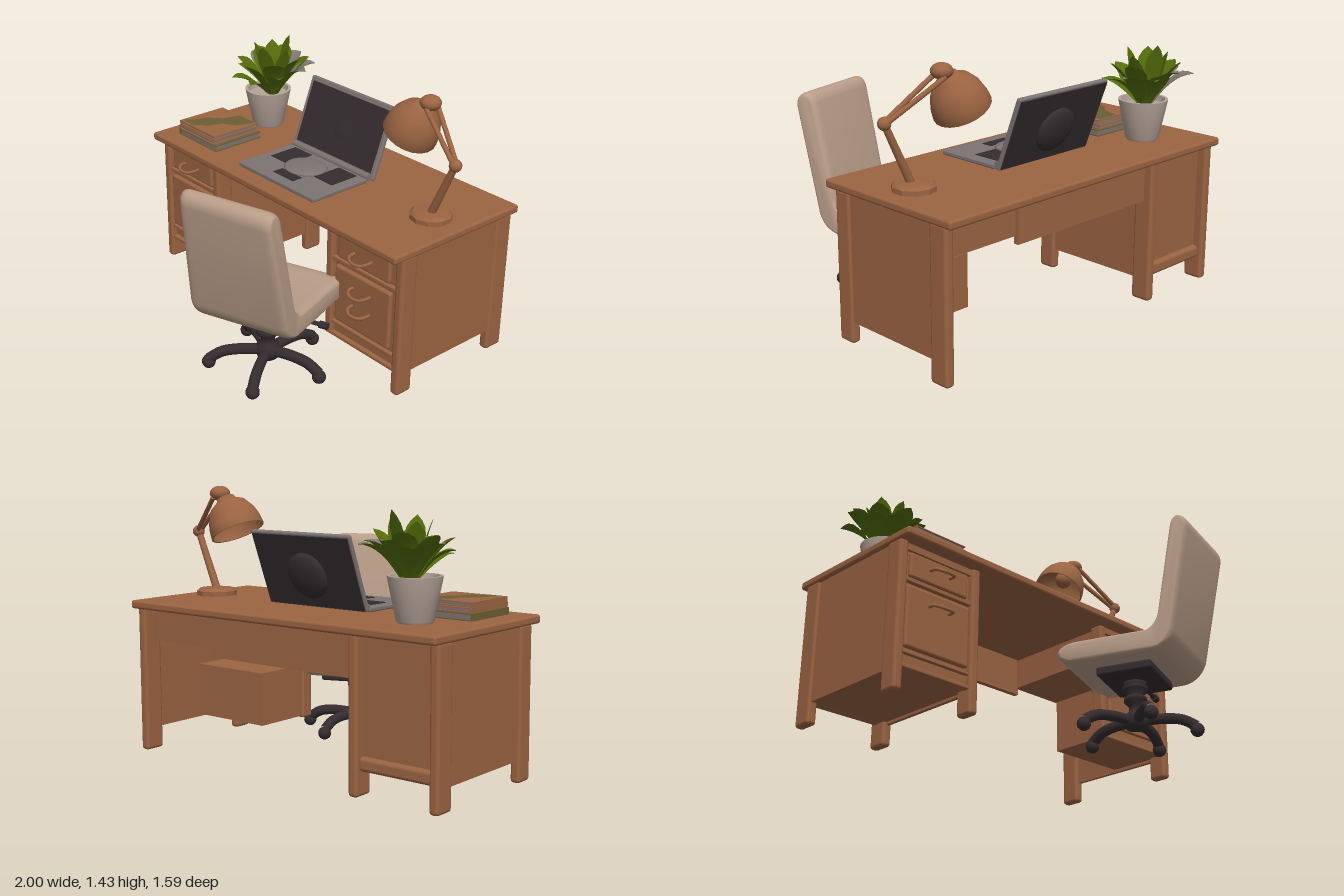
import * as THREE from 'three';
import { RoundedBoxGeometry } from 'three/addons/geometries/RoundedBoxGeometry.js';
import { toCreasedNormals } from 'three/addons/utils/BufferGeometryUtils.js';

const mat = (name, color, side = THREE.FrontSide) => {
  const m = new THREE.MeshStandardMaterial({ color, side });
  m.name = name;
  return m;
};
const V = (x, y, z) => new THREE.Vector3(x, y, z);

export function createModel() {
  const wood = mat('wood', 0x9b6442, THREE.DoubleSide);
  const fabric = mat('fabric', 0xba9e89);
  const dark = mat('darkPlastic', 0x352d30);
  const metal = mat('greyMetal', 0x7d7472);
  const ceramic = mat('potCeramic', 0xb5a499);
  const green = mat('leafGreen', 0x556f0a, THREE.DoubleSide);
  const pale = mat('leafGrey', 0x85797a, THREE.BackSide);
  const olive = mat('bookOlive', 0x6c5f34);

  const model = new THREE.Group();
  const group = (name, parent = model) => {
    const g = new THREE.Group();
    g.name = name;
    parent.add(g);
    return g;
  };
  const add = (parent, name, geo, m, x = 0, y = 0, z = 0) => {
    const mesh = new THREE.Mesh(geo, m);
    mesh.name = name;
    mesh.position.set(x, y, z);
    parent.add(mesh);
    return mesh;
  };
  // box given by its limits, rounded when r > 0
  const box = (p, name, m, x0, x1, y0, y1, z0, z1, r = 0) => {
    const s = [x1 - x0, y1 - y0, z1 - z0];
    const geo = r ? new RoundedBoxGeometry(...s, 2, r) : new THREE.BoxGeometry(...s);
    return add(p, name, geo, m, (x0 + x1) / 2, (y0 + y1) / 2, (z0 + z1) / 2);
  };
  // round bar between two points
  const bar = (p, name, m, a, b, r0, r1 = r0) => {
    const mesh = add(p, name, new THREE.CylinderGeometry(r1, r0, a.distanceTo(b), 10), m);
    mesh.position.copy(a).lerp(b, 0.5);
    mesh.quaternion.setFromUnitVectors(V(0, 1, 0), b.clone().sub(a).normalize());
    return mesh;
  };
  const tube = (p, name, m, pts, r) =>
    add(p, name, new THREE.TubeGeometry(new THREE.CatmullRomCurve3(pts), 14, r, 8), m);
  const lathe = (pts, seg = 24) =>
    new THREE.LatheGeometry(pts.map(([x, y]) => new THREE.Vector2(x, y)), seg);

  // desk
  const desk = group('desk');
  box(desk, 'deskTop', wood, -1, 1, 0.78, 0.825, -0.81, 0.085, 0.014);
  box(desk, 'backApron', wood, -0.49, 0.48, 0.56, 0.78, -0.72, -0.69);
  const leg = (x, front) => front
    ? box(desk, 'frontLeg', wood, x - 0.027, x + 0.027, 0, 0.79, -0.085, 0.02, 0.018)
    : box(desk, 'backLeg', wood, x - 0.027, x + 0.027, 0, 0.79, -0.77, -0.655, 0.018);
  for (const x of [-0.965, -0.495, 0.965]) [true, false].forEach(f => leg(x, f));
  const handle = (x, y) => tube(desk, 'drawerHandle', wood, [
    V(x - 0.062, y + 0.004, 0), V(x - 0.06, y + 0.001, 0.045), V(x - 0.03, y - 0.008, 0.07),
    V(x + 0.03, y - 0.008, 0.07), V(x + 0.06, y + 0.001, 0.045), V(x + 0.062, y + 0.004, 0)], 0.009);
  const drawers = (x0, x1, handles) => {
    const mid = (x0 + x1) / 2;
    box(desk, 'frontPanel', wood, x0, x1, 0.13, 0.78, -0.03, -0.015);
    box(desk, 'topRail', wood, x0, x1, 0.745, 0.78, -0.03, 0.004);
    box(desk, 'middleRail', wood, x0, x1, 0.575, 0.598, -0.03, 0.008, 0.005);
    box(desk, 'lowerRail', wood, x0, x1, 0.2, 0.215, -0.03, 0.006, 0.004);
    box(desk, 'bottomRail', wood, x0, x1, 0.125, 0.145, -0.03, 0.01, 0.005);
    box(desk, 'topDrawerFront', wood, mid - 0.185, mid + 0.185, 0.605, 0.738, -0.02, 0.008, 0.012);
    box(desk, 'lowerDrawerFront', wood, mid - 0.2, mid + 0.2, 0.232, 0.558, -0.02, 0.012, 0.014);
    handles.forEach(y => handle(mid, y));
  };
  drawers(-0.94, -0.52, [0.672, 0.475]);
  drawers(0.47, 0.94, [0.672, 0.475, 0.37]);

  // closed pedestal on the model's right
  for (const x of [-0.97, -0.495]) box(desk, 'sidePanel', wood, x - 0.01, x + 0.01, 0.115, 0.78, -0.7, -0.04);
  box(desk, 'pedestalFloor', wood, -0.97, -0.49, 0.13, 0.145, -0.71, -0.02);
  box(desk, 'pedestalBack', wood, -0.95, -0.51, 0.13, 0.78, -0.715, -0.7);
  box(desk, 'pedestalBackRail', wood, -0.95, -0.51, 0.125, 0.195, -0.745, -0.69, 0.02);

  // pedestal open at the back, with hanging drawer boxes
  box(desk, 'sidePanel', wood, 0.96, 0.98, 0.115, 0.78, -0.7, -0.04);
  box(desk, 'innerPost', wood, 0.44, 0.485, 0.125, 0.78, -0.06, 0.015, 0.012);
  box(desk, 'topDrawerBox', wood, 0.47, 0.94, 0.6, 0.775, -0.7, -0.03);
  box(desk, 'lowerDrawerBox', wood, 0.47, 0.955, 0.13, 0.42, -0.36, -0.03);

  // chair: seat and back share one side profile
  const chair = group('chair');
  chair.position.set(0.35, 0, 0.33);
  const upholstery = group('upholstery', chair);
  upholstery.rotation.y = Math.PI + 0.37;
  const p = new THREE.Shape();
  p.moveTo(0.25, 0.378);
  p.quadraticCurveTo(0.305, 0.39, 0.303, 0.425);
  p.quadraticCurveTo(0.285, 0.458, 0.2, 0.46);
  p.lineTo(-0.16, 0.465);
  p.quadraticCurveTo(-0.22, 0.48, -0.24, 0.56);
  p.lineTo(-0.335, 1.06);
  p.quadraticCurveTo(-0.35, 1.1, -0.375, 1.097);
  p.quadraticCurveTo(-0.405, 1.085, -0.398, 1.04);
  p.lineTo(-0.29, 0.47);
  p.quadraticCurveTo(-0.26, 0.38, -0.18, 0.378);
  p.closePath();
  const seatGeo = new THREE.ExtrudeGeometry(p, {
    depth: 0.46, bevelEnabled: true, bevelThickness: 0.05, bevelSize: 0.02, bevelSegments: 5, curveSegments: 8 });
  seatGeo.translate(0, 0, -0.23).rotateY(-Math.PI / 2);
  // widen the seat towards its front, narrow the back upwards, skew the rear face a little
  const sp = seatGeo.attributes.position;
  for (let i = 0; i < sp.count; i++) {
    const x = sp.getX(i), y = sp.getY(i), z = sp.getZ(i);
    const taper = 1 + Math.max(0, z + 0.2) * 0.12 - Math.max(0, y - 0.5) * 0.12;
    sp.setX(i, x * taper);
    sp.setZ(i, z + x * 0.09 * THREE.MathUtils.clamp((-0.24 - z) / 0.16, 0, 1));
  }
  seatGeo.computeVertexNormals();
  add(upholstery, 'seatAndBack', toCreasedNormals(seatGeo, 0.8), fabric);
  box(upholstery, 'seatPlate', dark, -0.18, 0.18, 0.31, 0.36, -0.15, 0.15, 0.014);
  bar(upholstery, 'heightLever', dark, V(-0.15, 0.34, 0), V(-0.31, 0.34, 0), 0.012);
  bar(upholstery, 'leverKnob', dark, V(-0.3, 0.34, 0), V(-0.345, 0.34, 0), 0.02);
  add(chair, 'column', lathe([[0, 0.06], [0.055, 0.06], [0.065, 0.1], [0.06, 0.13], [0.036, 0.15],
    [0.036, 0.18], [0.062, 0.205], [0.06, 0.225], [0.04, 0.24], [0.066, 0.265], [0.066, 0.285], [0.045, 0.295], [0.07, 0.32], [0, 0.32]]), dark);
  for (let i = 0; i < 5; i++) {
    const arm = group('baseArm', chair);
    arm.rotation.y = Math.PI + i * Math.PI * 2 / 5;
    tube(arm, 'armTube', dark, [V(0, 0.1, 0.03), V(0, 0.107, 0.14), V(0, 0.095, 0.24), V(0, 0.055, 0.31)], 0.029);
    add(arm, 'caster', new THREE.SphereGeometry(0.037, 12, 8), dark, 0, 0.037, 0.31);
  }

  // laptop
  const laptop = group('laptop');
  box(laptop, 'laptopBase', metal, -0.305, 0.31, 0.825, 0.85, -0.39, -0.005, 0.008);
  for (const s of [-1, 1]) box(laptop, 'keyboard', dark, s * 0.18 - 0.07, s * 0.18 + 0.07, 0.85, 0.853, -0.37, -0.19);
  box(laptop, 'trackpad', dark, -0.08, 0.08, 0.85, 0.853, -0.13, -0.065);
  const dome = new THREE.SphereGeometry(0.125, 28, 12);
  add(laptop, 'keyboardDisc', dome, metal, -0.01, 0.853, -0.235).scale.set(1, 0.16, 0.9);
  bar(laptop, 'hinge', metal, V(-0.3, 0.852, -0.405), V(0.31, 0.852, -0.405), 0.02);
  const lid = group('lid', laptop);
  lid.position.set(0.003, 0.835, -0.415);
  lid.rotation.x = -0.36;
  box(lid, 'lidFrame', metal, -0.325, 0.325, 0, 0.413, -0.02, 0.006, 0.01);
  box(lid, 'screen', dark, -0.3, 0.3, 0.035, 0.385, 0.005, 0.009);
  box(lid, 'lidBack', dark, -0.315, 0.315, 0.01, 0.4, -0.025, -0.018);
  add(lid, 'lidDisc', dome, dark, 0, 0.185, -0.03).scale.set(1, 1, 0.34);

  // books
  const books = group('books');
  const book = (cover, x0, x1, y0, y1, z0, z1) => {
    box(books, 'pages', metal, x0 + 0.01, x1 - 0.01, y0 + 0.003, y1 - 0.003, z0 + 0.01, z1 - 0.01);
    box(books, 'lowerCover', cover, x0, x1, y0, y0 + 0.005, z0, z1);
    box(books, 'upperCover', cover, x0, x1, y1 - 0.005, y1, z0, z1);
    box(books, 'spine', cover, x0, x0 + 0.008, y0, y1, z0, z1);
  };
  book(olive, -0.88, -0.53, 0.826, 0.862, -0.345, -0.02);
  book(wood, -0.87, -0.545, 0.863, 0.888, -0.34, -0.015);
  book(wood, -0.87, -0.545, 0.889, 0.914, -0.33, -0.02);
  const patch = new THREE.Shape([[-0.86, 0.035], [-0.76, 0.03], [-0.69, 0.1], [-0.67, 0.17], [-0.59, 0.22], [-0.56, 0.325],
    [-0.7, 0.325], [-0.73, 0.22], [-0.8, 0.16], [-0.82, 0.09]].map(([x, z]) => new THREE.Vector2(x, z)));
  add(books, 'coverPatch', new THREE.ShapeGeometry(patch).rotateX(-Math.PI / 2), olive, 0, 0.916, 0);

  // potted plant
  const plant = group('plant');
  plant.position.set(-0.68, 0.825, -0.525);
  add(plant, 'pot', toCreasedNormals(lathe([[0, 0], [0.085, 0], [0.092, 0.012], [0.13, 0.2], [0.134, 0.222], [0.118, 0.222],
    [0.112, 0.19], [0, 0.19]], 28), 0.6), ceramic);
  const leaves = group('leaves', plant);
  leaves.position.set(0.015, 0, -0.025);
  const leaf = (angle, out, height, width, droop, grey) => {
    const geo = new THREE.PlaneGeometry(2, 1, 2, 8);
    const a = geo.attributes.position;
    for (let i = 0; i < a.count; i++) {
      const u = a.getX(i), t = a.getY(i) + 0.5;
      const w = width * (0.12 * (1 - t) + Math.sin(Math.PI * Math.pow(t, 1.4)));
      const lift = Math.abs(u) * w * 0.3;
      a.setXYZ(i, u * w, 0.17 + height * (t + droop * t * (1 - t)) + lift, 0.02 + out * t);
    }
    geo.computeVertexNormals();
    add(leaves, 'leaf', geo, green).rotation.y = angle;
    // grey upper face, just above the green one
    if (grey) add(leaves, 'leafUpperFace', geo, pale, 0, 0.003, 0).rotation.y = angle;
  };
  // per ring: count, reach, height, half width, droop, turn
  const rings = [[5, 0.09, 0.33, 0.052, 0.2, 0.3], [7, 0.18, 0.25, 0.06, 0.5, 0], [9, 0.215, 0.16, 0.056, 1, 0.35]];
  rings.forEach(([n, out, h, w, droop, turn], k) => {
    for (let i = 0; i < n; i++) {
      const angle = turn + i * Math.PI * 2 / n;
      const grey = k === 2 && Math.cos(angle) < 0.1;
      const vary = 1 + 0.1 * Math.sin(i * 2.3 + k);
      leaf(angle, out * vary, h * (2 - vary) + (grey ? 0.05 : 0), w, droop, grey);
    }
  });

  // desk lamp
  const lamp = group('lamp');
  add(lamp, 'lampBase', toCreasedNormals(lathe([[0, 0], [0.11, 0], [0.11, 0.025], [0.095, 0.038], [0.03, 0.042], [0, 0.045]], 10), 0.5),
    wood, 0.81, 0.826, -0.355);
  const elbow = V(0.965, 1.17, -0.335), head = V(0.695, 1.39, -0.43);
  bar(lamp, 'lowerArm', wood, V(0.82, 0.86, -0.345), elbow, 0.022, 0.018);
  add(lamp, 'elbowJoint', new THREE.SphereGeometry(0.033, 14, 10), wood).position.copy(elbow);
  for (const s of [-1, 1])
    bar(lamp, 'upperArm', wood, elbow.clone().add(V(0, 0, s * 0.01)), head.clone().add(V(0.01, -0.02, s * 0.04)), 0.013);
  const joint = add(lamp, 'headJoint', new THREE.SphereGeometry(0.05, 16, 12), wood);
  joint.position.copy(head);
  joint.scale.set(1.1, 0.8, 1.1);
  const shade = group('shade', lamp);
  shade.position.set(0.565, 1.19, -0.43);
  shade.rotation.z = -0.47;
  add(shade, 'shadeShell', lathe([[0.138, 0], [0.147, 0], [0.142, 0.05], [0.128, 0.1], [0.095, 0.155], [0.055, 0.18],
    [0.045, 0.2], [0, 0.205]], 20), wood);
  add(shade, 'bulb', new THREE.SphereGeometry(0.05, 14, 10), wood, 0, 0.09, 0);

  return model;
}
